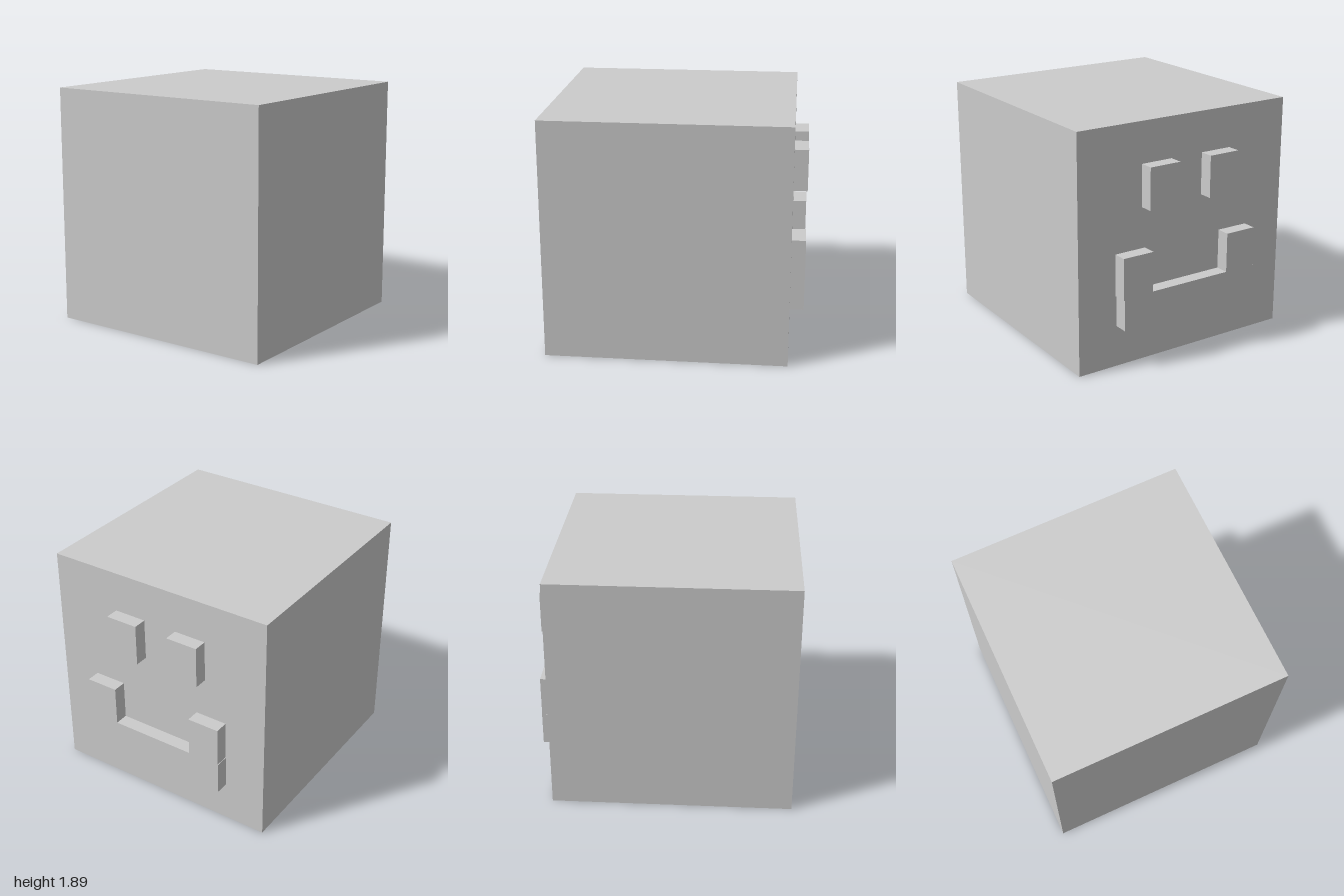
import * as THREE from 'three';

const FACE_X = 0.89; // plane of the face side
const RELIEF = 0.11; // how far the features stand out

export function createModel() {
  const group = new THREE.Group();
  const material = new THREE.MeshStandardMaterial({ color: 0xcccccc, flatShading: true });

  const add = (name, geometry) => {
    const mesh = new THREE.Mesh(geometry, material);
    mesh.name = name;
    group.add(mesh);
    return mesh;
  };

  // Extrude a [z, y] outline outwards from the face along +x
  const addFeature = (name, outline) => {
    const shape = new THREE.Shape(outline.map(([z, y]) => new THREE.Vector2(-z, y)));
    const geometry = new THREE.ExtrudeGeometry(shape, { depth: RELIEF, bevelEnabled: false });
    geometry.rotateY(Math.PI / 2);
    add(name, geometry).position.x = FACE_X;
  };

  // Head block
  add('head', new THREE.BoxGeometry(1.89, 1.89, 1.89)).position.set(-0.055, 0.945, 0);

  // Eyes
  for (const [name, z0, z1] of [['frontEye', 0.39, 0.125], ['backEye', -0.157, -0.42]]) {
    addFeature(name, [[z0, 1.235], [z1, 1.235], [z1, 1.567], [z0, 1.567]]);
  }

  // Smiling mouth: a bar with two raised ends
  addFeature('mouth', [
    [0.612, 0.33], [-0.608, 0.33], [-0.608, 0.592], [-0.603, 0.592],
    [-0.603, 0.91], [-0.34, 0.91], [-0.34, 0.592], [0.358, 0.592],
    [0.358, 0.91], [0.622, 0.91], [0.622, 0.577], [0.612, 0.577],
  ]);

  return group;
}
